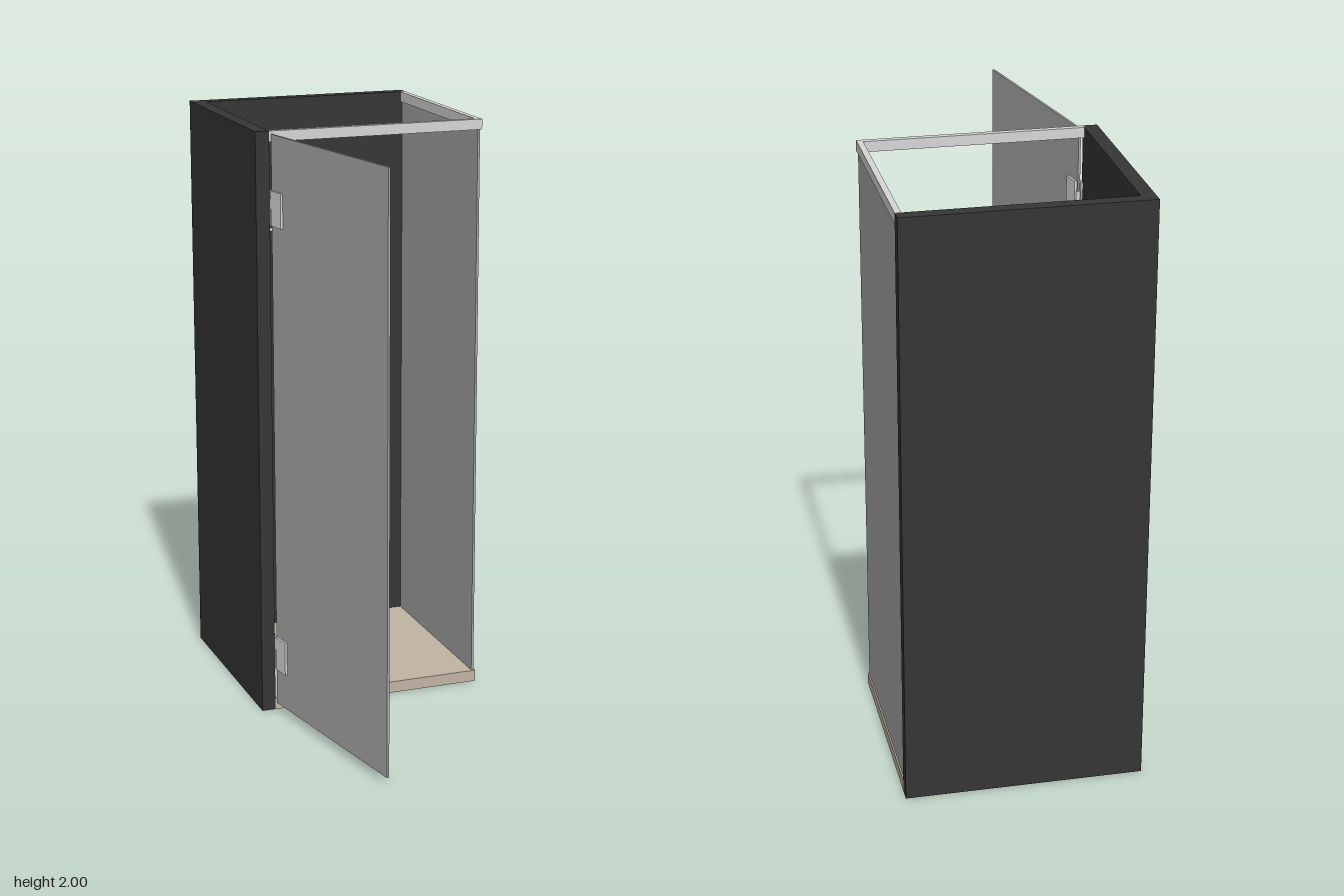
import * as THREE from 'three';

const mat = (name, color, extra = {}) => Object.assign(new THREE.MeshStandardMaterial({ color, ...extra }), { name });

export function createModel() {
  const root = new THREE.Group();
  root.name = 'showerCabin';
  const wall = mat('darkWall', 0x353535);
  const stone = mat('beigeTray', 0xc0b4a3);
  const glass = mat('greyGlass', 0xa8a8a8);
  const chrome = mat('chrome', 0xd6d6d6);
  const rubber = mat('darkHose', 0x2a2a2a);

  const add = (name, geo, material, parent = root) => {
    const m = new THREE.Mesh(geo, material);
    m.name = name;
    parent.add(m);
    return m;
  };
  // box given by its limits on each axis
  const box = (name, x0, x1, y0, y1, z0, z1, material, parent = root) => {
    const m = add(name, new THREE.BoxGeometry(x1 - x0, y1 - y0, z1 - z0), material, parent);
    m.position.set((x0 + x1) / 2, (y0 + y1) / 2, (z0 + z1) / 2);
    return m;
  };
  // cylinder running from point a to point b
  const rod = (name, a, b, r0, r1, material, parent = root) => {
    const p = new THREE.Vector3(...a), q = new THREE.Vector3(...b);
    const d = q.clone().sub(p);
    const m = add(name, new THREE.CylinderGeometry(r1, r0, d.length(), 24), material, parent);
    m.position.copy(p).add(q).multiplyScalar(0.5);
    m.quaternion.setFromUnitVectors(new THREE.Vector3(0, 1, 0), d.normalize());
    return m;
  };

  // walls and tray
  box('sideWall', -0.397, -0.35, 0, 2, -0.735, 0.012, wall);
  box('backWall', -0.35, 0.395, 0, 2, -0.735, -0.69, wall);
  box('tray', -0.35, 0.395, 0, 0.04, -0.69, 0.012, stone);

  // fixed glass panel with head rails
  box('fixedPanel', 0.382, 0.39, 0.04, 1.967, -0.69, 0.006, glass);
  box('sideRail', 0.375, 0.395, 1.965, 2, -0.69, 0.012, chrome);
  box('frontRail', -0.35, 0.375, 1.965, 2, -0.009, 0.012, chrome);

  // open door, built along its own z and swung about the hinge line
  const door = new THREE.Group();
  door.name = 'door';
  door.position.set(-0.342, 0, 0.012);
  door.rotation.y = Math.atan2(0.132, 0.72);
  root.add(door);
  box('doorGlass', -0.004, 0.004, 0.025, 1.99, 0.004, 0.732, glass, door);
  for (const y of [0.21, 1.75]) {
    for (const s of [-1, 1])
      box('hingePlate', s * 0.008 - 0.004, s * 0.008 + 0.004, y - 0.058, y + 0.058, 0.012, 0.078, chrome, door);
    rod('hingePin', [0, y - 0.025, 0.008], [0, y + 0.025, 0.008], 0.008, 0.008, chrome, door);
    box('hingeWallPlate', -0.351, -0.344, y - 0.058, y + 0.058, -0.001, 0.02, chrome);
  }

  // shower column with overhead arm
  const shower = new THREE.Group();
  shower.name = 'shower';
  root.add(shower);
  const px = -0.322, pz = -0.375, hx = -0.04;
  const path = new THREE.CurvePath();
  const v = (x, y, z = pz) => new THREE.Vector3(x, y, z);
  path.add(new THREE.LineCurve3(v(px, 0.83), v(px, 1.583)));
  path.add(new THREE.QuadraticBezierCurve3(v(px, 1.583), v(px, 1.597), v(px + 0.014, 1.597)));
  path.add(new THREE.LineCurve3(v(px + 0.014, 1.597), v(hx - 0.012, 1.597)));
  path.add(new THREE.QuadraticBezierCurve3(v(hx - 0.012, 1.597), v(hx, 1.597), v(hx, 1.585)));
  path.add(new THREE.LineCurve3(v(hx, 1.585), v(hx, 1.535)));
  add('columnPipe', new THREE.TubeGeometry(path, 240, 0.006, 12, false), chrome, shower);

  // rain head
  const profile = [[0, 1.514], [0.092, 1.514], [0.094, 1.517], [0.092, 1.52], [0.022, 1.525],
    [0.018, 1.533], [0.016, 1.542], [0.009, 1.552], [0, 1.552]].map(p => new THREE.Vector2(...p));
  add('rainHead', new THREE.LatheGeometry(profile, 48), chrome, shower).position.set(hx, 0, pz);

  // wall bracket
  rod('bracketArm', [-0.35, 1.385, pz], [px, 1.385, pz], 0.007, 0.007, chrome, shower);
  rod('bracketRose', [-0.351, 1.385, pz], [-0.343, 1.385, pz], 0.02, 0.02, chrome, shower);
  rod('bracketCollar', [px, 1.37, pz], [px, 1.4, pz], 0.012, 0.012, chrome, shower);

  // mixer bar with wall unions and end knobs
  rod('mixerBody', [px, 0.84, -0.43], [px, 0.84, -0.32], 0.017, 0.017, chrome, shower);
  for (const s of [-1, 1]) {
    rod('mixerKnob', [px, 0.84, pz + s * 0.057], [px, 0.84, pz + s * 0.08], 0.02, 0.019, chrome, shower);
    rod('wallUnion', [-0.35, 0.84, pz + s * 0.04], [px, 0.84, pz + s * 0.04], 0.009, 0.009, chrome, shower);
    rod('wallRose', [-0.351, 0.84, pz + s * 0.04], [-0.343, 0.84, pz + s * 0.04], 0.019, 0.019, chrome, shower);
  }

  // sliding holder and hand shower
  rod('slider', [px, 1.15, pz], [px, 1.185, pz], 0.012, 0.012, chrome, shower);
  rod('sliderArm', [px, 1.167, -0.335], [px, 1.167, -0.425], 0.008, 0.008, chrome, shower);
  rod('handle', [px, 1.13, -0.42], [px + 0.008, 1.27, -0.42], 0.007, 0.009, chrome, shower);
  rod('handHead', [px + 0.002, 1.275, -0.42], [px + 0.016, 1.27, -0.42], 0.02, 0.028, chrome, shower);

  // hose looping from the mixer up to the handle
  const hose = new THREE.CatmullRomCurve3([v(px, 0.825, -0.385), v(px, 0.775, -0.395), v(px, 0.75, -0.43),
    v(px, 0.775, -0.475), v(px, 0.84, -0.487), v(px, 0.93, -0.455), v(px, 1.03, -0.425), v(px, 1.13, -0.42)]);
  add('hose', new THREE.TubeGeometry(hose, 64, 0.004, 8, false), rubber, shower);

  return root;
}
